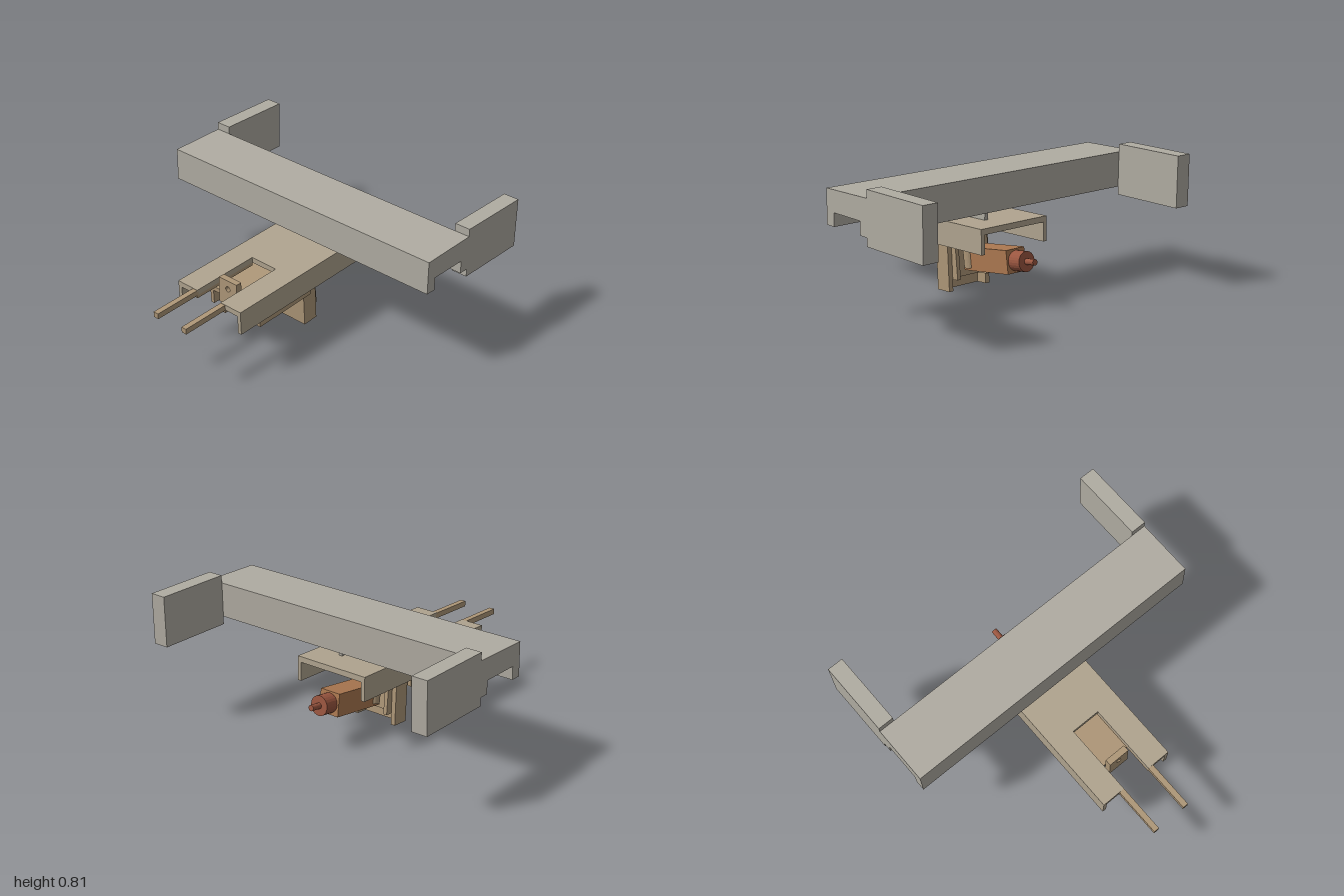
import * as THREE from 'three';

const GREY = 0xb0aca2, STONE = 0xb0a48f, TAN = 0xae9778, ORANGE = 0xab7850, RUST = 0x9a5640;

export function createModel() {
  const model = new THREE.Group();
  const mats = {};
  const mat = (c) => (mats[c] ??= new THREE.MeshStandardMaterial({ color: c, flatShading: true }));
  const add = (name, geo, color, parent = model) => {
    const m = new THREE.Mesh(geo, mat(color));
    m.name = name;
    parent.add(m);
    return m;
  };
  // Box from min/max corners
  const box = (name, x0, x1, y0, y1, z0, z1, color, parent) =>
    add(name, new THREE.BoxGeometry(x1 - x0, y1 - y0, z1 - z0)
      .translate((x0 + x1) / 2, (y0 + y1) / 2, (z0 + z1) / 2), color, parent);
  const shapeOf = (pts) => new THREE.Shape(pts.map(([x, y]) => new THREE.Vector2(x, y)));
  const extrude = (shape, depth) => new THREE.ExtrudeGeometry(shape, { depth, bevelEnabled: false, curveSegments: 16 });
  const holed = (w, y0, y1, hy, r) => {
    const s = shapeOf([[-w, y0], [w, y0], [w, y1], [-w, y1]]);
    s.holes.push(new THREE.Path().absarc(0, hy, r, 0, Math.PI * 2, true));
    return s;
  };
  const tilted = (name, y, z, angle) => {
    const g = new THREE.Group();
    g.name = name;
    g.position.set(0, y, z);
    g.rotation.x = angle;
    model.add(g);
    return g;
  };

  // Wide cross beam: downward-open channel, profile in (-z, y)
  const beam = shapeOf([[0.095, 0.55], [0.16, 0.55], [0.16, 0.63], [0.40, 0.63],
    [0.40, 0.55], [0.46, 0.55], [0.46, 0.765], [0.095, 0.757]]);
  add('crossBeam', extrude(beam, 2).rotateY(Math.PI / 2).translate(-1, 0, 0), GREY);

  // End panels and small ribs beneath the beam
  for (const s of [-1, 1]) {
    box('endPanel', s * 0.95 - 0.05, s * 0.95 + 0.05, 0.5, 0.813, -0.932, -0.46, GREY);
    box('beamRib', s * 0.75 - 0.012, s * 0.75 + 0.012, 0.613, 0.632, -0.355, -0.2, GREY);
  }

  // Hanger lug with pin hole
  const lug = add('hangerLug', extrude(holed(0.075, 0.46, 0.6, 0.55, 0.024), 0.025), GREY);
  lug.rotation.y = Math.PI / 2;
  lug.position.set(0.055, 0, -0.275);

  // Main channel: slotted top plate with side walls
  const main = tilted('mainChannel', 0.46, 0.055, 0.037);
  const plate = shapeOf([[-0.25, -0.57], [0.25, -0.57], [0.25, 0.57], [0.095, 0.57],
    [0.095, 0.115], [-0.095, 0.115], [-0.095, 0.57], [-0.25, 0.57]]);
  add('topPlate', extrude(plate, 0.035).rotateX(Math.PI / 2), STONE, main);
  for (const s of [-1, 1]) {
    box('sideWall', s * 0.2375 - 0.0125, s * 0.2375 + 0.0125, -0.15, -0.035, -0.57, 0.57, STONE, main);
    // Fork bars running forward from under the plate
    box('forkBar', s * 0.1125 - 0.0175, s * 0.1125 + 0.0175, -0.037, -0.002, 0.56, 0.877, TAN, main);
    box('forkRoot', s * 0.1125 - 0.0175, s * 0.1125 + 0.0175, -0.055, -0.035, 0.115, 0.57, TAN, main);
  }

  // Lower channel nested beneath
  const lower = tilted('lowerChannel', 0.35, 0.2, 0.055);
  box('lowerPlate', -0.2, 0.2, -0.03, 0, -0.22, 0.22, TAN, lower);
  for (const s of [-1, 1])
    box('lowerWall', s * 0.1875 - 0.0125, s * 0.1875 + 0.0125, -0.123, -0.03, -0.22, 0.22, TAN, lower);

  // Upright lug with hole at the front of the lower channel
  add('frontLug', extrude(holed(0.07, 0.305, 0.472, 0.415, 0.017), 0.04).translate(0, 0, 0.432), TAN);

  // Upright channels, open to the back
  const upright = (name, y, z, angle, w, h, d, t, color) => {
    const g = tilted(name, y, z, angle);
    const s = shapeOf([[-w, 0], [w, 0], [w, d], [w - t, d], [w - t, t], [-w + t, t], [-w + t, d], [-w, d]]);
    // Profile y points to the back, extrusion points up
    add(name + 'Body', extrude(s, h).rotateX(-Math.PI / 2), color, g);
  };
  upright('outerUpright', 0.0, -0.02, 0.065, 0.157, 0.315, 0.105, 0.03, TAN);
  upright('innerUpright', 0.07, -0.065, 0.11, 0.125, 0.25, 0.098, 0.025, TAN);

  // Actuator: tilted body, collar and rod
  const act = tilted('actuator', 0.232, -0.34, 0.145);
  box('actuatorBody', -0.07, 0.07, -0.07, 0.07, -0.195, 0.19, ORANGE, act);
  const round = (name, r, z0, z1, color) =>
    add(name, new THREE.CylinderGeometry(r, r, z1 - z0, 24).rotateX(Math.PI / 2)
      .translate(0, 0, (z0 + z1) / 2), color, act);
  round('collar', 0.06, -0.285, -0.19, RUST);
  round('rod', 0.018, -0.355, -0.28, RUST);
  for (const s of [-1, 1])
    add('sideBoss', new THREE.CylinderGeometry(0.037, 0.037, 0.11, 20).translate(s * 0.05, 0, 0.157), TAN, act);

  return model;
}
